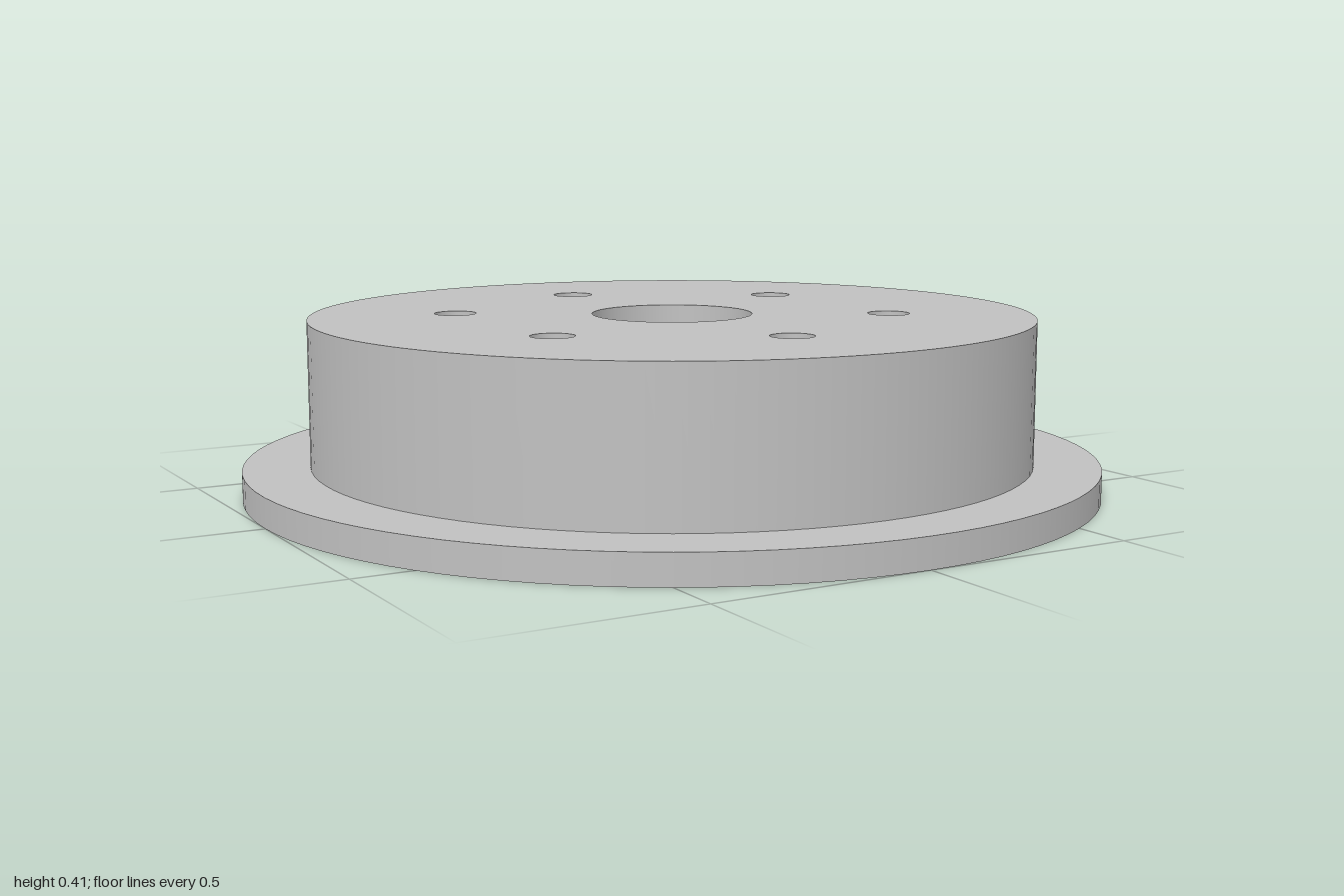
import * as THREE from 'three';

const SEGMENTS = 96;
const FLANGE_R = 1, DRUM_R = 0.846, BORE_R = 0.188, COUNTERBORE_R = 0.219;
const FLANGE_H = 0.068, HEIGHT = 0.406, COUNTERBORE_H = 0.205;
const BOLT_R = 0.049, BOLT_CIRCLE = 0.51, BOLTS = 6;

// Centres of the bolt holes in plan
const boltCentres = Array.from({ length: BOLTS }, (_, i) => {
  const a = Math.PI / 2 + (i * 2 * Math.PI) / BOLTS;
  return [BOLT_CIRCLE * Math.cos(a), BOLT_CIRCLE * Math.sin(a)];
});

// Revolved strip: rising faces out, falling faces in; inner-to-outer faces down, outer-to-inner faces up
function strip(r0, y0, r1, y1) {
  return new THREE.LatheGeometry([new THREE.Vector2(r0, y0), new THREE.Vector2(r1, y1)], SEGMENTS);
}

// Flat disc with a central opening and the bolt holes
function drilledDisc(radius, opening, y, up) {
  const shape = new THREE.Shape().absarc(0, 0, radius, 0, Math.PI * 2, false);
  const addHole = (x, z, r) => shape.holes.push(new THREE.Path().absarc(x, z, r, 0, Math.PI * 2, true));
  addHole(0, 0, opening);
  boltCentres.forEach(([x, z]) => addHole(x, z, BOLT_R));
  return new THREE.ShapeGeometry(shape, SEGMENTS)
    .rotateX(up ? -Math.PI / 2 : Math.PI / 2)
    .translate(0, y, 0);
}

export function createModel() {
  const metal = new THREE.MeshStandardMaterial({ color: 0xc0c0c0 });
  metal.name = 'greyMetal';
  const model = new THREE.Group();
  model.name = 'flangedHub';

  const add = (name, geometry) => {
    const mesh = new THREE.Mesh(geometry, metal);
    mesh.name = name;
    model.add(mesh);
    return mesh;
  };

  // Flange
  add('flangeRim', strip(FLANGE_R, 0, FLANGE_R, FLANGE_H));
  add('flangeTop', strip(FLANGE_R, FLANGE_H, DRUM_R, FLANGE_H));
  add('bottomFace', drilledDisc(FLANGE_R, COUNTERBORE_R, 0, false));

  // Drum
  add('drumWall', strip(DRUM_R, FLANGE_H, DRUM_R, HEIGHT));
  add('topFace', drilledDisc(DRUM_R, BORE_R, HEIGHT, true));

  // Central bore, wider in its lower half
  add('boreWall', strip(BORE_R, HEIGHT, BORE_R, COUNTERBORE_H));
  add('boreStep', strip(BORE_R, COUNTERBORE_H, COUNTERBORE_R, COUNTERBORE_H));
  add('counterboreWall', strip(COUNTERBORE_R, COUNTERBORE_H, COUNTERBORE_R, 0));

  // Bolt holes
  const boltWall = strip(BOLT_R, HEIGHT, BOLT_R, 0);
  boltCentres.forEach(([x, z], i) => add(`boltHole${i + 1}`, boltWall).position.set(x, 0, z));

  return model;
}
